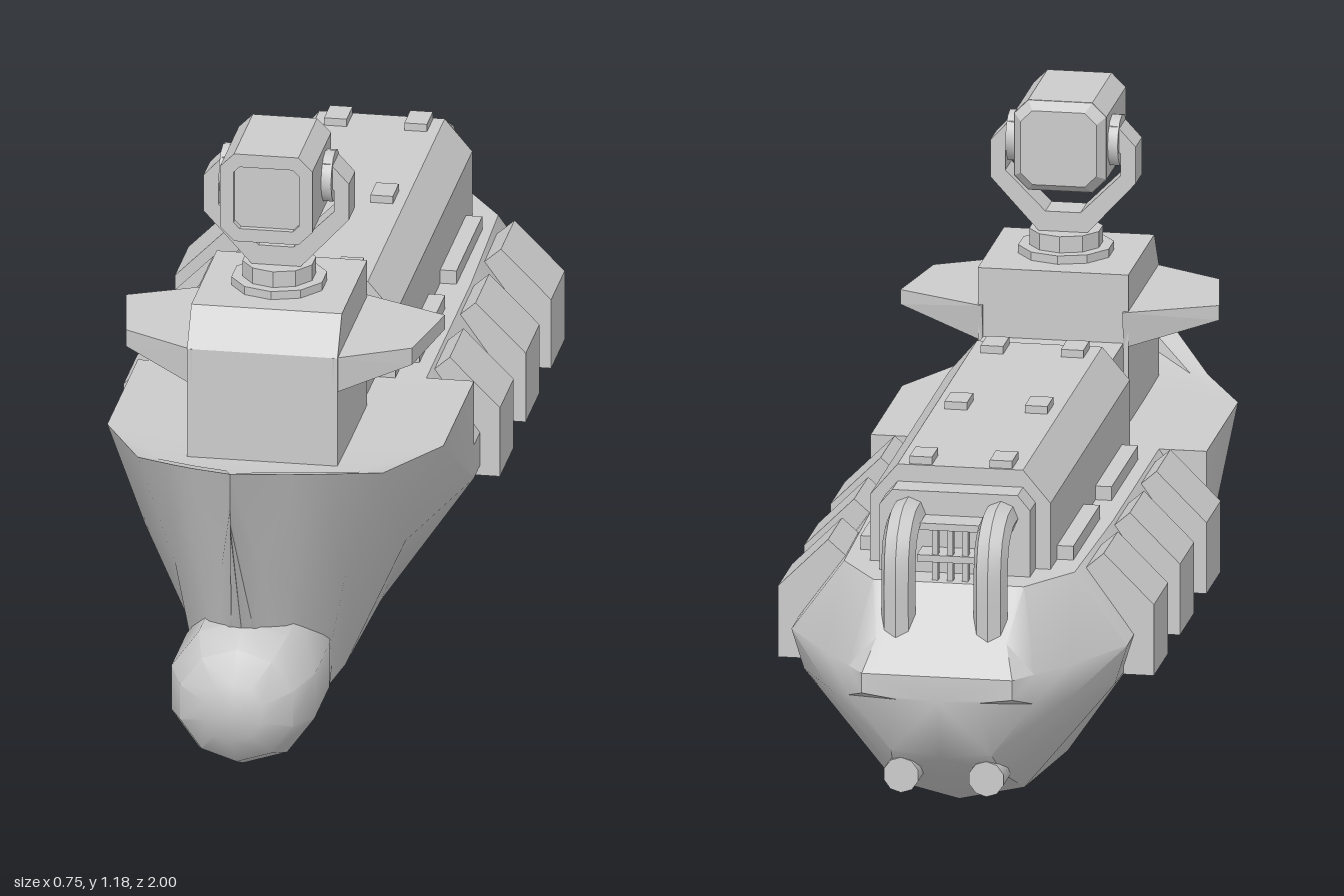
import * as THREE from 'three';
import { toCreasedNormals } from 'three/addons/utils/BufferGeometryUtils.js';
import { ConvexGeometry } from 'three/addons/geometries/ConvexGeometry.js';

const mat = new THREE.MeshStandardMaterial({ color: 0xcccccc });
const V = (x, y, z) => new THREE.Vector3(x, y, z);

export function createModel() {
  const ship = new THREE.Group();

  const add = (name, geo, x = 0, y = 0, z = 0) => {
    const m = new THREE.Mesh(geo, mat);
    m.name = name;
    m.position.set(x, y, z);
    ship.add(m);
  };
  const box = (name, w, h, d, x, y, z) => add(name, new THREE.BoxGeometry(w, h, d), x, y, z);
  const points = (pts) => pts.map(([x, y]) => new THREE.Vector2(x, y));
  // Extrude an xy outline from z0 to z1
  const alongZ = (pts, z0, z1, hole) => {
    const s = new THREE.Shape(points(pts));
    if (hole) s.holes.push(new THREE.Path(points(hole)));
    return new THREE.ExtrudeGeometry(s, { depth: z1 - z0, bevelEnabled: false }).translate(0, 0, z0);
  };
  // Extrude a zy outline from x0 to x1
  const alongX = (pts, x0, x1) =>
    alongZ(pts.map(([z, y]) => [-z, y]), x0, x1).rotateY(Math.PI / 2);
  // Square with cut corners
  const octagon = (h, c) => [[h, -h + c], [h, h - c], [h - c, h], [-h + c, h],
    [-h, h - c], [-h, -h + c], [-h + c, -h], [h - c, -h]];
  const mirrorPts = (pts) => [...pts, ...pts.slice().reverse().map(([x, y]) => [-x, y])];

  // Hull stations: z, keel y, then bilge, knuckle, side and rim as x, y
  const midship = [0.005, 0.15, 0.08, 0.335, 0.35, 0.335, 0.42, 0.24, 0.555];
  const stations = [
    [-1.0, 0.35, 0.08, 0.35, 0.15, 0.36, 0.15, 0.4, 0.12, 0.4],
    [-0.95, 0.22, 0.1, 0.23, 0.185, 0.34, 0.185, 0.4, 0.13, 0.46],
    [-0.87, 0.16, 0.11, 0.17, 0.24, 0.33, 0.245, 0.4, 0.15, 0.555],
    [-0.75, 0.08, 0.13, 0.11, 0.31, 0.33, 0.335, 0.41, 0.23, 0.555],
    [-0.38, ...midship],
    [0.13, ...midship],
    [0.13, 0.005, 0.15, 0.08, 0.335, 0.35, 0.335, 0.555, 0.24, 0.555],
    [0.48, 0.005, 0.14, 0.08, 0.26, 0.35, 0.335, 0.555, 0.3, 0.555],
    [0.65, 0.005, 0.12, 0.08, 0.17, 0.34, 0.245, 0.558, 0.21, 0.558],
    [0.8, 0.15, 0.06, 0.18, 0.09, 0.36, 0.15, 0.607, 0.1, 0.607],
    [0.87, 0.3, 0.02, 0.32, 0.04, 0.42, 0.1, 0.63, 0.03, 0.63],
    [1.0, 0.56, 0, 0.57, 0, 0.6, 0, 0.675, 0, 0.675],
  ];
  const rings = stations.map(([z, keel, x1, y1, x2, y2, x3, y3, x4, y4]) => {
    // The bow deck lies a little below the rim
    const deckY = z > 0.7 && z < 0.9 ? y4 - 0.03 : y4;
    const half = [[x1, y1], [x2, y2], [x3, y3], [x4, y4], [Math.max(x4 - 0.015, 0), deckY]];
    return [[0, keel], ...half, [0, deckY], ...half.slice().reverse().map(([x, y]) => [-x, y])]
      .map(([x, y]) => V(x, y, z));
  });
  const pos = [];
  const tri = (a, b, c) => {
    const area = b.clone().sub(a).cross(c.clone().sub(a)).length();
    if (area > 1e-7) for (const p of [a, b, c]) pos.push(p.x, p.y, p.z);
  };
  const n = rings[0].length;
  for (let i = 0; i < rings.length - 1; i++) {
    for (let j = 0; j < n; j++) {
      const k = (j + 1) % n, r = rings[i], s = rings[i + 1];
      // Mirror the diagonal so both sides match
      if (j < n / 2) { tri(r[j], r[k], s[k]); tri(r[j], s[k], s[j]); }
      else { tri(r[j], r[k], s[j]); tri(r[k], s[k], s[j]); }
    }
  }
  // Transom
  for (let j = 1; j < n - 1; j++) tri(rings[0][0], rings[0][j + 1], rings[0][j]);
  const hull = new THREE.BufferGeometry();
  hull.setAttribute('position', new THREE.Float32BufferAttribute(pos, 3));
  add('hull', toCreasedNormals(hull, 0.6));

  // Bulbous bow, turned about the z axis
  const bulb = [[0.03, 0.2], [0.12, 0.45], [0.15, 0.68], [0.15, 0.85], [0.118, 0.925], [0.06, 0.965], [0, 0.972]];
  const bulbGeo = new THREE.LatheGeometry(points(bulb), 10).rotateX(Math.PI / 2);
  add('bulbousBow', toCreasedNormals(bulbGeo, 0.7), 0, 0.157, 0);

  // Long cabin with sloped shoulders, its front link and rear cap
  add('cabin', alongZ(mirrorPts([[0.18, 0.54], [0.18, 0.69], [0.125, 0.755]]), -0.74, 0.14));
  add('cabinLink', alongZ(mirrorPts([[0.14, 0.54], [0.14, 0.72]]), 0.13, 0.3));
  add('cabinRearCap', alongZ(mirrorPts([[0.15, 0.54], [0.15, 0.69], [0.125, 0.72]]), -0.8, -0.73));
  for (const z of [0.09, -0.31, -0.7])
    for (const s of [1, -1]) box('roofHatch', 0.045, 0.025, 0.068, s * 0.08, 0.758, z);

  // Side fender pods and low rails
  const pod = [[0.23, 0.33], [0.375, 0.33], [0.375, 0.475], [0.275, 0.575], [0.235, 0.54]];
  for (const s of [1, -1]) {
    for (const z of [-0.015, -0.31, -0.6])
      add('sidePod', alongZ(pod.map(([x, y]) => [s * x, y]), z - 0.078, z + 0.078));
    for (const z of [-0.095, -0.52]) box('sideRail', 0.035, 0.04, 0.295, s * 0.195, 0.563, z);
  }

  // Bridge with raked front and bridge wings
  add('bridge', alongX([[0.29, 0.54], [0.63, 0.54], [0.63, 0.785], [0.58, 0.86], [0.29, 0.86]], -0.15, 0.15));
  for (const s of [1, -1]) {
    const pts = [[0.14, 0.785, 0.28], [0.318, 0.785, 0.365], [0.285, 0.785, 0.55], [0.14, 0.785, 0.632],
      [0.318, 0.755, 0.365], [0.285, 0.75, 0.55], [0.14, 0.71, 0.29], [0.14, 0.71, 0.63]];
    add('bridgeWing', new ConvexGeometry(pts.map(([x, y, z]) => V(s * x, y, z))));
  }

  // Lamp pedestal, fork and pivoting head
  const drum = (name, r, h, y) => add(name,
    toCreasedNormals(new THREE.CylinderGeometry(r, r, h, 10), 0.3), 0, y, 0.435);
  drum('pedestalBase', 0.095, 0.02, 0.867);
  drum('pedestal', 0.073, 0.04, 0.89);
  const fork = [[0.04, 0.9], [0.145, 1.015], [0.145, 1.09], [0.108, 1.13], [0.09, 1.13],
    [0.09, 1.09], [0.115, 1.075], [0.115, 1.03], [0.035, 0.95]];
  add('lampFork', alongZ(mirrorPts(fork), 0.4, 0.47));
  const lampY = 1.093;
  const lampEdge = octagon(0.092, 0.028);
  add('lampHead', alongZ(lampEdge, 0.37, 0.572), 0, lampY, 0);
  add('lampFrame', alongZ(lampEdge, 0.57, 0.585, octagon(0.065, 0.012)), 0, lampY, 0);
  const backPts = lampEdge.flatMap(([x, y]) => [V(x, y, 0.371), V(x * 0.82, y * 0.82, 0.35)]);
  add('lampBack', new ConvexGeometry(backPts), 0, lampY, 0);
  for (const s of [1, -1]) {
    const pivot = new THREE.CylinderGeometry(0.052, 0.052, 0.03, 12).rotateZ(Math.PI / 2);
    add('lampPivot', toCreasedNormals(pivot, 0.6), s * 0.097, lampY, 0.435);
  }

  // Arched stern ducts and exhaust pipes under the stern
  const path = new THREE.CatmullRomCurve3([V(0, 0.672, -0.77), V(0, 0.672, -0.85),
    V(0, 0.645, -0.9), V(0, 0.59, -0.915), V(0, 0.45, -0.915)], false, 'catmullrom', 0.4);
  for (const s of [1, -1]) {
    add('sternDuct', toCreasedNormals(new THREE.TubeGeometry(path, 12, 0.034, 8), 0.6), s * 0.092, 0, 0);
    const pipe = new THREE.CylinderGeometry(0.036, 0.036, 0.2, 10).rotateX(Math.PI / 2);
    add('exhaustPipe', toCreasedNormals(pipe, 0.7), s * 0.085, 0.174, -0.825);
  }
  // Ladder grille between the ducts
  for (const x of [-0.03, 0, 0.03]) box('grilleBar', 0.012, 0.12, 0.02, x, 0.61, -0.845);
  for (const y of [0.6, 0.665]) box('grilleRail', 0.13, 0.014, 0.06, 0, y, -0.83);

  return ship;
}
